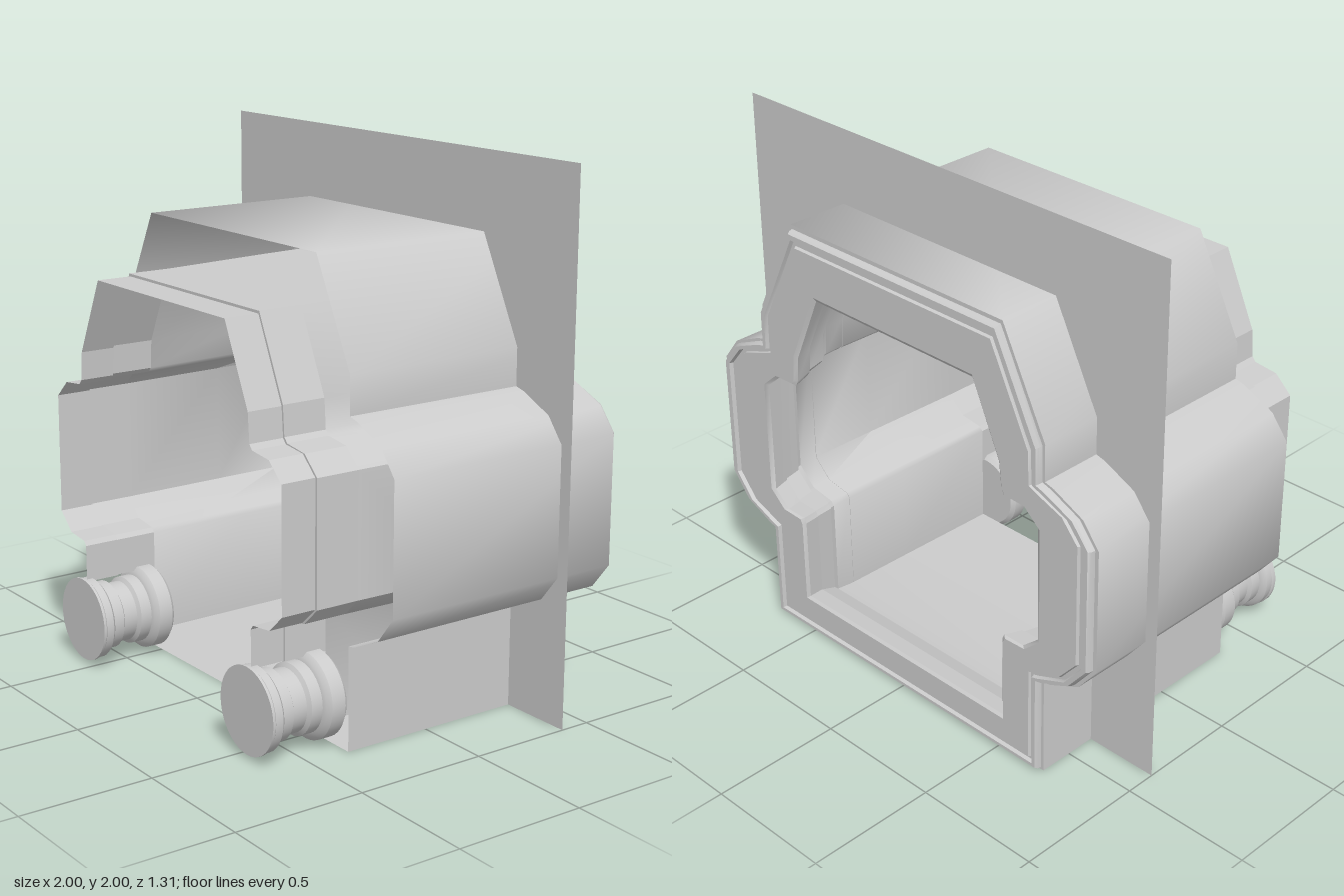
import * as THREE from 'three';
import { toCreasedNormals } from 'three/addons/utils/BufferGeometryUtils.js';

const material = new THREE.MeshStandardMaterial({ color: 0xcccccc, side: THREE.DoubleSide });

// Left half of the housing outline and of the opening, top to bottom, matching corner for corner
const OUTER = [[0.52, 1.71], [0.71, 1.33], [0.71, 1.19], [0.75, 1.18], [0.88, 1.12], [0.95, 1.03],
  [0.95, 0.55], [0.87, 0.45], [0.74, 0.39], [0.71, 0.385], [0.71, 0]];
const INNER = [[0.39, 1.46], [0.51, 1.19], [0.52, 1.09], [0.53, 1.07], [0.62, 1.07], [0.69, 1.01],
  [0.69, 0.56], [0.62, 0.5], [0.53, 0.5], [0.52, 0.48], [0.52, 0.15]];

// Full outline from a half: up the right side, down the left side
const mirror = (half) => [...half.map(([x, y]) => [-x, y]).reverse(), ...half];

// Outline between the opening (s = 0) and the housing (s = 1), ending at the given bottom height
function outline(s, bottom = 0.15 * (1 - s)) {
  const half = OUTER.map(([x, y], i) => [
    THREE.MathUtils.lerp(INNER[i][0], x, s),
    THREE.MathUtils.lerp(INNER[i][1], y, s),
  ]);
  half[half.length - 1][1] = bottom;
  return mirror(half);
}

// Skin a list of { z, points } rings
function loft(rings, closed, crease) {
  const n = rings[0].points.length;
  const position = [];
  const index = [];
  rings.forEach(({ z, points }) => points.forEach(([x, y]) => position.push(x, y, z)));
  for (let r = 0; r < rings.length - 1; r++) {
    for (let i = 0; i < (closed ? n : n - 1); i++) {
      const a = r * n + i;
      const b = r * n + ((i + 1) % n);
      index.push(a, a + n, b, b, a + n, b + n);
    }
  }
  const geometry = new THREE.BufferGeometry();
  geometry.setAttribute('position', new THREE.Float32BufferAttribute(position, 3));
  geometry.setIndex(index);
  return toCreasedNormals(geometry, crease);
}

const ringsFrom = (list) => list.map(([z, s, bottom]) => ({ z, points: outline(s, bottom) }));

function add(group, name, geometry) {
  const mesh = new THREE.Mesh(geometry, material);
  mesh.name = name;
  group.add(mesh);
  return mesh;
}

export function createModel() {
  const group = new THREE.Group();
  group.name = 'housing';

  // Outer sleeve, open at the front
  add(group, 'outerShell', loft(ringsFrom([[0.34, 1], [-0.63, 1]]), true, 1.15));

  // Back flange with a stepped lip and a shallow groove
  add(group, 'backFlange', loft(ringsFrom([
    [-0.63, 1], [-0.63, 0.94], [-0.645, 0.93], [-0.655, 0.9], [-0.655, 0.82],
    [-0.64, 0.8], [-0.64, 0.73], [-0.65, 0.71], [-0.65, 0.06], [-0.64, 0],
  ]), true, 0.55));

  // Stepped collar that widens inwards from the opening
  add(group, 'innerCollar', loft(ringsFrom([
    [-0.64, 0], [-0.57, 0.08], [-0.57, 0.11], [-0.49, 0.18, 0.1], [-0.49, 0.23, 0.08], [-0.46, 0.27, 0.07],
  ]), true, 0.4));

  // Smooth lining from the collar through the plate to the neck
  add(group, 'innerLining', loft(ringsFrom([
    [-0.46, 0.27, 0.07], [-0.385, 0.28, 0.06], [-0.1, 0.26, 0.06], [0.33, 0.22, 0.06],
  ]), true, 0.8));

  // Flat raised border on the plate around the lining
  add(group, 'plateBorder', loft(ringsFrom([
    [-0.38, 0.27, 0.06], [-0.38, 0.48, 0.04], [-0.385, 0.48, 0.04],
  ]), true, 0.4));

  // Thin square backing plate with a cut-out
  const square = new THREE.Shape([[-1, 0], [1, 0], [1, 2], [-1, 2]].map((p) => new THREE.Vector2(...p)));
  square.holes.push(new THREE.Path(outline(0.28, 0.06).map((p) => new THREE.Vector2(...p))));
  add(group, 'backingPlate', new THREE.ShapeGeometry(square)).position.z = -0.385;

  // Front neck: two thin bands, the front one slightly smaller, stopping above the knobs
  const neckRings = [[0.33, 0.22], [0.5, 0.22], [0.5, 0.18], [0.635, 0.18]];
  add(group, 'frontNeck', loft(ringsFrom(neckRings.map((ring) => [...ring, 0.32])), false, 0.3));

  // Turned knobs at the lower front corners: radius and z along the axis
  const profile = [[0, 0.34], [0.145, 0.34], [0.16, 0.355], [0.16, 0.41], [0.145, 0.425], [0.13, 0.43],
    [0.13, 0.475], [0.115, 0.485], [0.115, 0.54], [0.13, 0.55], [0.13, 0.595], [0.145, 0.6],
    [0.155, 0.61], [0.155, 0.64], [0.16, 0.645], [0.16, 0.655], [0, 0.655]];
  const knob = toCreasedNormals(
    new THREE.LatheGeometry(profile.map(([r, z]) => new THREE.Vector2(r, z)), 40).rotateX(Math.PI / 2), 0.5);
  for (const side of [1, -1]) {
    add(group, side > 0 ? 'leftKnob' : 'rightKnob', knob).position.set(side * 0.555, 0.175, 0);
  }

  return group;
}
